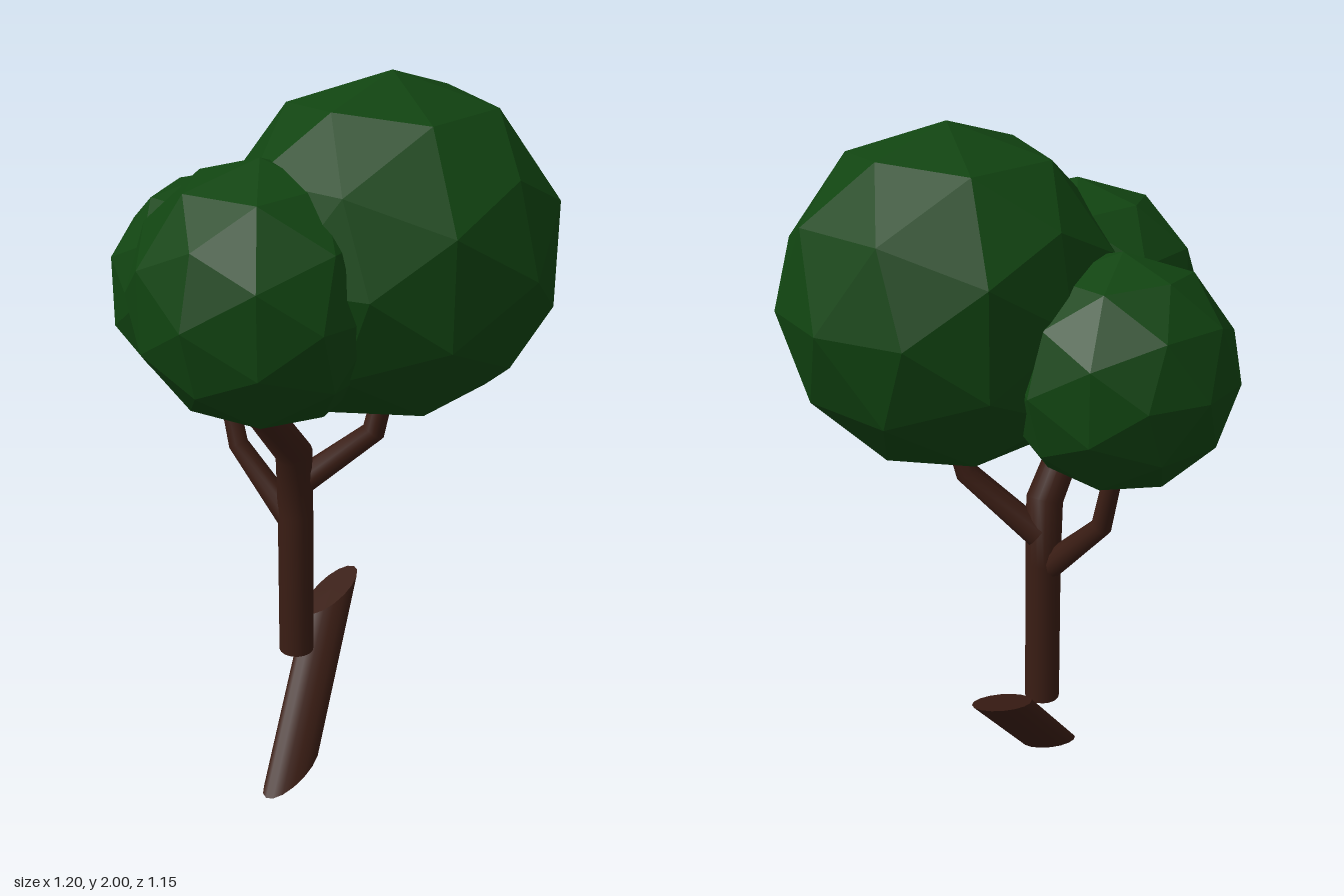
import * as THREE from 'three';
import { toCreasedNormals } from 'three/addons/utils/BufferGeometryUtils.js';

const bark = new THREE.MeshStandardMaterial({ color: 0x3a1d14 });
const leaf = new THREE.MeshStandardMaterial({ color: 0x114411, flatShading: true });

// Bent, tapered round limb; each stop is [x, y, z, radius]
function limb(name, stops, sides = 12) {
  const centres = stops.map(([x, y, z]) => new THREE.Vector3(x, y, z));
  const pos = [];
  const index = [];
  const ref = new THREE.Vector3(0, 0, 1);
  const last = stops.length - 1;
  centres.forEach((c, i) => {
    const t = new THREE.Vector3();
    if (i > 0) t.add(c.clone().sub(centres[i - 1]).normalize());
    if (i < last) t.add(centres[i + 1].clone().sub(c).normalize());
    t.normalize();
    const u = t.clone().cross(ref).normalize();
    const v = t.clone().cross(u);
    for (let k = 0; k < sides; k++) {
      const a = (k / sides) * Math.PI * 2;
      const p = c.clone()
        .addScaledVector(u, Math.cos(a) * stops[i][3])
        .addScaledVector(v, Math.sin(a) * stops[i][3]);
      pos.push(p.x, p.y, p.z);
    }
  });
  const start = pos.length / 3;
  pos.push(...centres[0].toArray(), ...centres[last].toArray());
  for (let k = 0; k < sides; k++) {
    const n = (k + 1) % sides;
    for (let i = 0; i < last; i++) {
      const a = i * sides;
      const b = a + sides;
      index.push(a + k, a + n, b + k, a + n, b + n, b + k);
    }
    index.push(start, n, k, start + 1, last * sides + k, last * sides + n);
  }
  const geo = new THREE.BufferGeometry();
  geo.setAttribute('position', new THREE.Float32BufferAttribute(pos, 3));
  geo.setIndex(index);
  const mesh = new THREE.Mesh(toCreasedNormals(geo, 0.9), bark);
  mesh.name = name;
  return mesh;
}

// Faceted ball of leaves; low keeps its underside and one flank slightly flattened
function foliage(name, [x, y, z], radius, turn, low) {
  const geo = new THREE.IcosahedronGeometry(radius, 1).rotateY(turn).translate(x, y, z);
  if (low) {
    const p = geo.attributes.position;
    for (let i = 0; i < p.count; i++) {
      p.setXY(i, Math.max(p.getX(i), low[0]), Math.max(p.getY(i), low[1]));
    }
  }
  const mesh = new THREE.Mesh(geo, leaf);
  mesh.name = name;
  return mesh;
}

export function createModel() {
  const tree = new THREE.Group();
  tree.name = 'tree';

  // Slanted base log: a cylinder sheared so that its ends are long ellipses
  const skew = new THREE.Matrix4().makeBasis(
    new THREE.Vector3(0.05, 0, 0),
    new THREE.Vector3(-0.155, 0.38, -0.37),
    new THREE.Vector3(0, -0.033, 0.11),
  ).setPosition(-0.003, 0.233, 0.025);
  const base = new THREE.Mesh(new THREE.CylinderGeometry(1, 1, 1, 16).applyMatrix4(skew), bark);
  base.name = 'slantedBase';
  tree.add(base);

  // Trunk, bending forward at the top, and two side branches
  tree.add(
    limb('trunk', [
      [-0.04, 0.335, 0.05, 0.05], [-0.04, 0.78, 0.05, 0.05],
      [-0.04, 0.97, 0.055, 0.052], [0.01, 1.27, 0.32, 0.042],
    ], 16),
    limb('leftBranch', [
      [-0.04, 0.87, 0.03, 0.04], [0.135, 1.04, -0.075, 0.033], [0.155, 1.25, -0.13, 0.027],
    ]),
    limb('rightBranch', [
      [-0.04, 0.75, 0.055, 0.04], [-0.235, 0.945, 0.07, 0.029], [-0.285, 1.2, 0.08, 0.024],
    ]),
  );

  // Crown
  tree.add(
    foliage('mainFoliage', [0.14, 1.55, -0.12], 0.455, Math.PI / 2, [-0.29, 1.137]),
    foliage('frontFoliage', [0.01, 1.485, 0.23], 0.345, 0.14),
    foliage('rightFoliage', [-0.29, 1.405, 0.06], 0.312, -0.1),
  );
  return tree;
}
